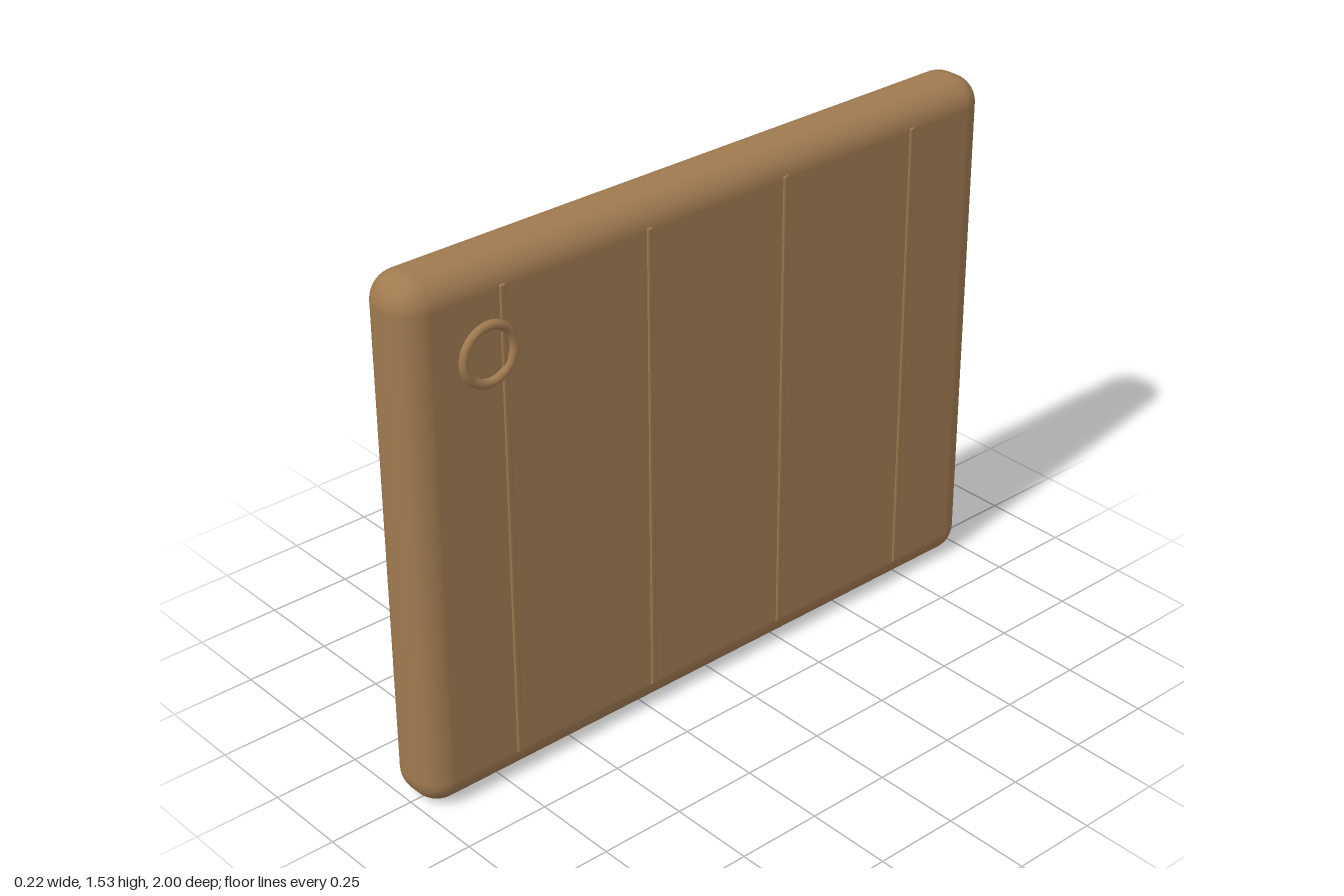
import * as THREE from 'three';
import { RoundedBoxGeometry } from 'three/addons/geometries/RoundedBoxGeometry.js';

export function createModel() {
  const model = new THREE.Group();
  model.name = 'plankDoor';
  const wood = new THREE.MeshStandardMaterial({ color: 0xa07a50 });

  const add = (name, geometry, x, y, z) => {
    const mesh = new THREE.Mesh(geometry, wood);
    mesh.name = name;
    mesh.position.set(x, y, z);
    model.add(mesh);
    return mesh;
  };

  // Thick panel with softly rounded edges
  const height = 1.53;
  add('panel', new RoundedBoxGeometry(0.19, height, 2, 6, 0.08), 0, height / 2, 0);

  // Slim vertical ridges and a pull ring on both faces
  const ridge = new RoundedBoxGeometry(0.02, 1.39, 0.02, 3, 0.006);
  const ring = new THREE.TorusGeometry(0.078, 0.0135, 12, 40);
  for (const side of [1, -1]) {
    for (const z of [-0.705, -0.235, 0.235, 0.705]) {
      add('seamRidge', ridge, side * 0.089, 0.765, z);
    }
    add('pullRing', ring, side * 0.097, 1.286, 0.755).rotation.y = Math.PI / 2;
  }
  return model;
}
